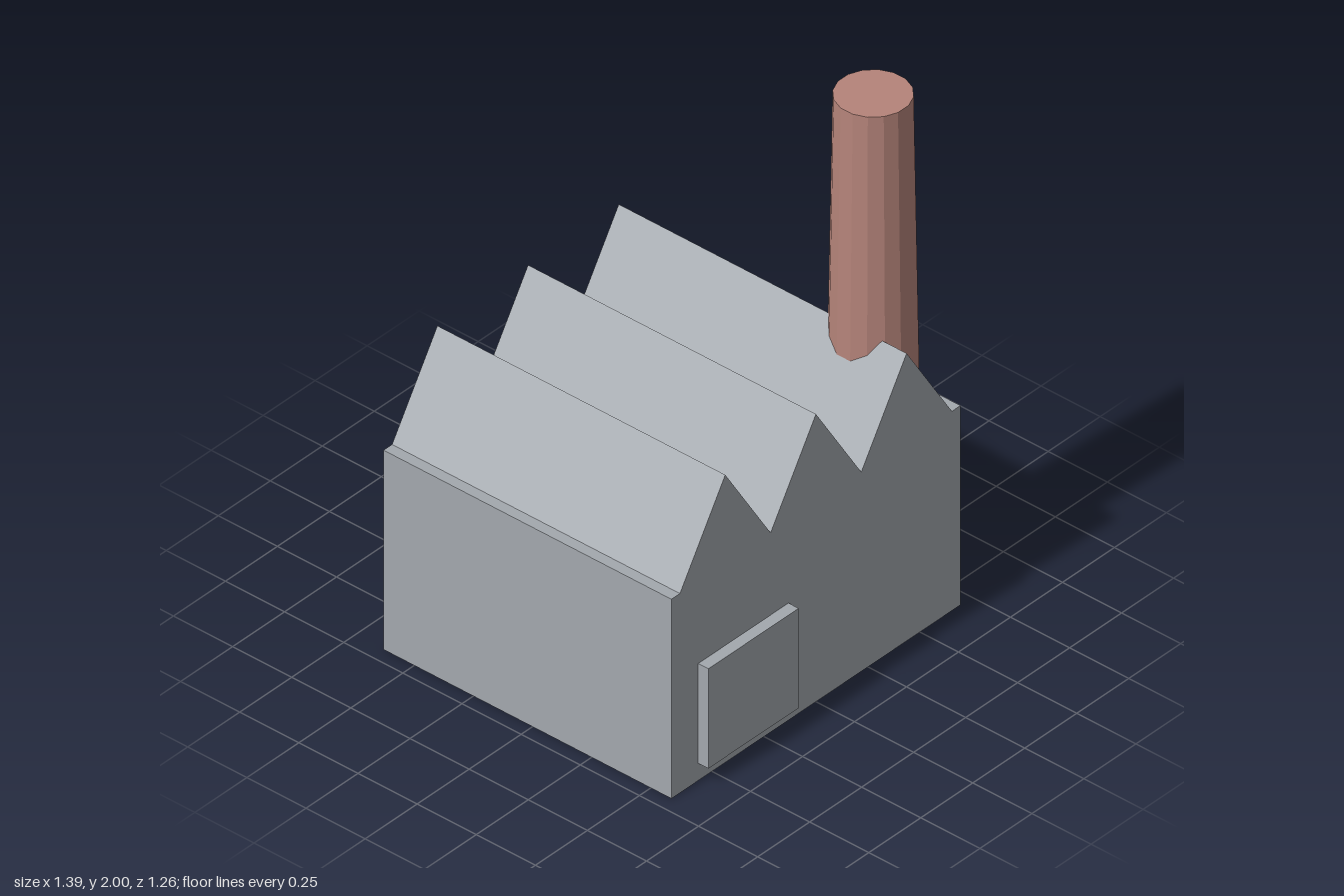
import * as THREE from 'three';

export function createModel() {
  const grey = new THREE.MeshStandardMaterial({ color: 0xa3a8ae });
  grey.name = 'wall grey';
  const brick = new THREE.MeshStandardMaterial({ color: 0xb5847a, flatShading: true });
  brick.name = 'brick red';

  const model = new THREE.Group();
  model.name = 'factory';
  const add = (name, geometry, material, x, y, z) => {
    const mesh = new THREE.Mesh(geometry, material);
    mesh.name = name;
    mesh.position.set(x, y, z);
    model.add(mesh);
    return mesh;
  };

  const back = -0.63, front = 0.587, half = 0.695;
  const eaves = 0.783, ridge = 1.13, pitch = 0.436;

  // Hall and its three-gabled roof, extruded as one outline
  const outline = new THREE.Shape();
  outline.moveTo(-half, 0);
  outline.lineTo(half, 0);
  outline.lineTo(half, eaves);
  for (let i = 1; i >= -1; i--) {
    outline.lineTo((i + 0.5) * pitch, eaves);
    outline.lineTo(i * pitch, ridge);
  }
  outline.lineTo(-1.5 * pitch, eaves);
  outline.lineTo(-half, eaves);
  const hall = new THREE.ExtrudeGeometry(outline, { depth: front - back, bevelEnabled: false });
  add('hallAndRoof', hall, grey, 0, 0, back);

  // Loading door standing proud of the front wall
  add('door', new THREE.BoxGeometry(0.434, 0.392, 0.043), grey, -0.349, 0.264, front + 0.0215);

  // Tapered sixteen-sided chimney, flats facing the walls
  const height = 2 - eaves;
  const chimney = new THREE.CylinderGeometry(0.13, 0.15, height, 16);
  chimney.rotateY(Math.PI / 16);
  add('chimney', chimney, brick, 0.522, eaves + height / 2, 0.37);

  return model;
}
